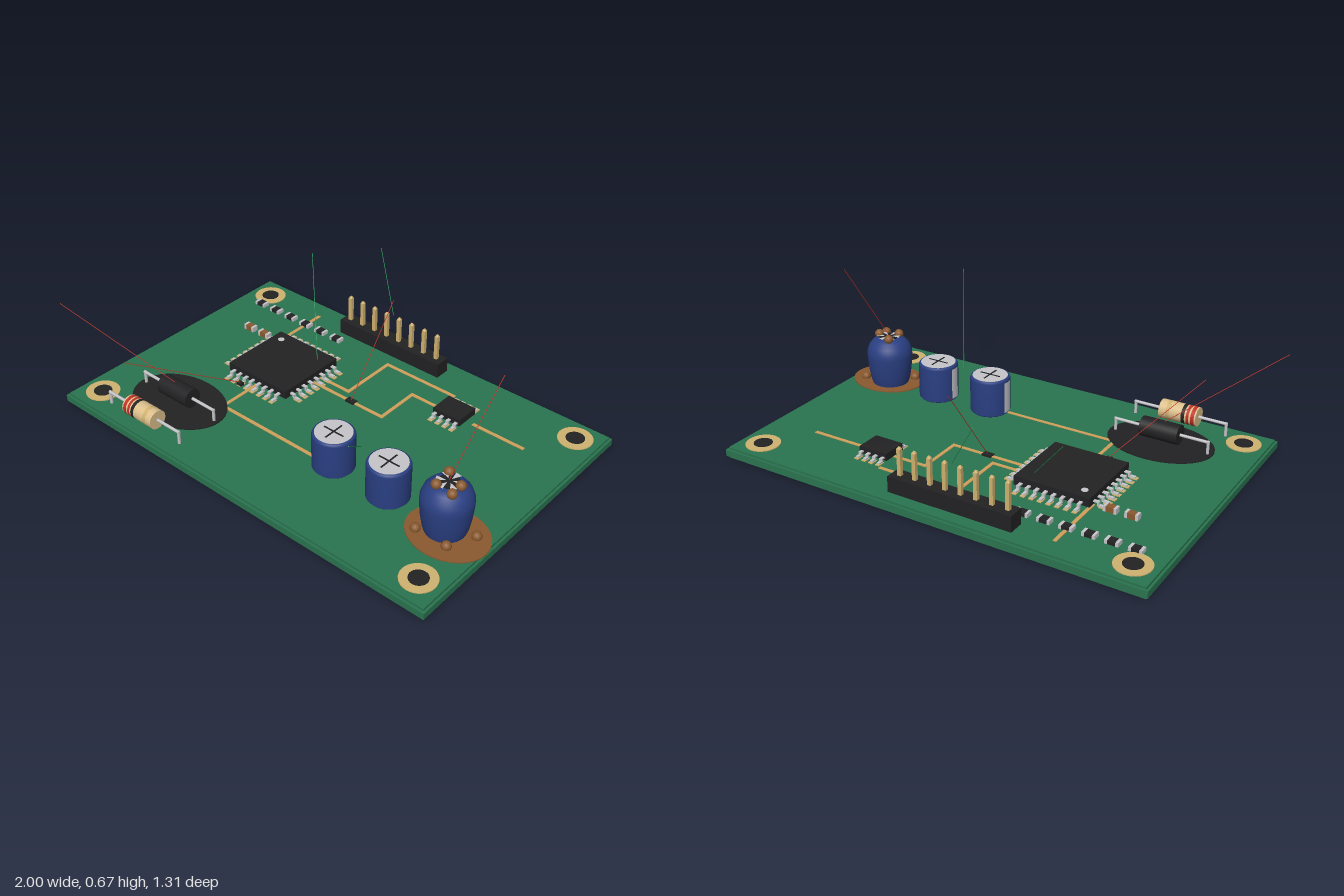
import * as THREE from 'three';

export function createModel() {
  const root = new THREE.Group();
  root.name = 'circuitBoard';
  const mat = (name, color, side = THREE.FrontSide) => {
    const m = new THREE.MeshStandardMaterial({ color, side });
    m.name = name;
    return m;
  };
  const green = mat('boardGreen', 0x2a7550), black = mat('black', 0x222224);
  const silver = mat('silver', 0xc6c6ca, THREE.DoubleSide), gold = mat('gold', 0xd0b270);
  const copper = mat('copper', 0xcfa05c), blue = mat('sleeveBlue', 0x2a3f82);
  const brown = mat('residueBrown', 0x8a5a30), beige = mat('resistorBeige', 0xdcc08c);
  const red = mat('red', 0xc03024), lineGreen = mat('lineGreen', 0x229a55);
  const TOP = 0.05;

  const add = (name, geo, material, x, y, z, parent = root) => {
    const m = new THREE.Mesh(geo, material);
    m.name = name;
    m.position.set(x, y, z);
    parent.add(m);
    return m;
  };
  // Box standing on height y
  const box = (name, material, x, y, z, w, h, d, parent = root) =>
    add(name, new THREE.BoxGeometry(w, h, d), material, x, y + h / 2, z, parent);
  // Cylinder standing on height y
  const disc = (name, material, x, y, z, r, h, parent = root, seg = 32) =>
    add(name, new THREE.CylinderGeometry(r, r, h, seg), material, x, y + h / 2, z, parent);
  // Straight rod between two points
  const rod = (name, material, a, b, r, parent = root) => {
    const p = new THREE.Vector3(...a), q = new THREE.Vector3(...b);
    const dir = q.clone().sub(p), mid = p.clone().add(q).multiplyScalar(0.5);
    const m = add(name, new THREE.CylinderGeometry(r, r, dir.length(), 8), material, mid.x, mid.y, mid.z, parent);
    m.quaternion.setFromUnitVectors(new THREE.Vector3(0, 1, 0), dir.normalize());
    return m;
  };
  const group = (name, x = 0, y = 0, z = 0) => {
    const g = new THREE.Group();
    g.name = name;
    g.position.set(x, y, z);
    root.add(g);
    return g;
  };

  // Board with a slightly proud edge band
  box('board', green, 0.01, 0, 0.004, 1.945, TOP, 1.275);
  box('boardEdge', green, 0.01, 0.01, 0.004, 1.965, 0.03, 1.295);

  // Mounting holes
  for (const x of [-0.862, 0.88]) for (const z of [-0.533, 0.535]) {
    disc('mountingPad', gold, x, TOP, z, 0.075, 0.004);
    disc('mountingHole', black, x, TOP, z, 0.04, 0.006);
  }

  // Copper traces
  const traces = [
    [[-0.2, -0.168], [-0.045, -0.168], [-0.045, -0.443], [0.323, -0.443]],
    [[-0.2, -0.12], [0.18, -0.12], [0.18, -0.333], [0.34, -0.333]],
    [[0.51, -0.333], [0.75, -0.333]],
    [[-0.385, 0.06], [-0.385, 0.267], [0.2, 0.267]],
    [[-0.55, -0.54], [-0.55, -0.25]],
  ];
  for (const path of traces) for (let i = 1; i < path.length; i++) {
    const [a, b] = [path[i - 1], path[i]];
    box('trace', copper, (a[0] + b[0]) / 2, TOP, (a[1] + b[1]) / 2,
      Math.abs(a[0] - b[0]) + 0.016, 0.003, Math.abs(a[1] - b[1]) + 0.016);
  }

  // Gull-wing lead on its solder pad, pointing along local +z
  const lead = (parent, x, z, angle, length, y) => {
    const g = new THREE.Group();
    g.name = 'lead';
    g.position.set(x, 0, z);
    g.rotation.y = angle;
    parent.add(g);
    box('solderPad', gold, 0, TOP, length - 0.012, 0.021, 0.004, 0.034, g);
    box('leadFoot', silver, 0, TOP + 0.004, length * 0.66, 0.014, 0.006, length * 0.5, g);
    box('leadRise', silver, 0, TOP + 0.004, length * 0.4, 0.014, y - TOP, 0.008, g);
    box('leadShoulder', silver, 0, y - 0.002, length * 0.2, 0.014, 0.006, length * 0.45, g);
  };

  // Large square chip, eight leads a side
  const chip = group('mainChip', -0.382, 0, -0.11);
  box('chipBody', black, 0, 0.056, 0, 0.342, 0.039, 0.338, chip);
  disc('chipMark', silver, -0.123, 0.095, -0.12, 0.015, 0.002, chip);
  for (let s = 0; s < 4; s++) for (let i = 0; i < 8; i++) {
    const a = s * Math.PI / 2, t = (i - 3.5) * 0.0385;
    lead(chip, 0.17 * Math.sin(a) + t * Math.cos(a), 0.17 * Math.cos(a) - t * Math.sin(a), a, 0.055, 0.07);
  }

  // Small chip, four leads on two sides
  const small = group('smallChip', 0.403, 0, -0.334);
  box('chipBody', black, 0, 0.056, 0, 0.138, 0.032, 0.114, small);
  for (const s of [0, 1]) for (let i = 0; i < 4; i++)
    lead(small, (i - 1.5) * 0.036, s ? -0.057 : 0.057, s * Math.PI, 0.04, 0.068);

  // Pin header
  box('headerBase', black, -0.1, TOP, -0.545, 0.57, 0.07, 0.072);
  for (let i = 0; i < 8; i++) {
    const x = -0.35 + i * 0.071;
    box('headerPin', gold, x, 0.12, -0.545, 0.017, 0.117, 0.017);
    const tip = add('pinTip', new THREE.CylinderGeometry(0.006, 0.012, 0.008, 4), gold, x, 0.241, -0.545);
    tip.rotation.y = Math.PI / 4;
  }

  // Surface-mount parts with metal end caps
  const smd = (name, material, x, z, w, h, d) => {
    box(name, material, x, TOP, z, w - 0.02, h, d);
    for (const s of [-1, 1]) box('endCap', silver, x + s * (w / 2 - 0.006), TOP, z, 0.012, h + 0.001, d + 0.001);
  };
  for (let i = 0; i < 6; i++) smd('chipResistor', black, -0.835 + i * 0.096, -0.446, 0.057, 0.016, 0.034);
  for (let i = 0; i < 2; i++) smd('chipCapacitor', brown, -0.722 + i * 0.091, -0.25, 0.057, 0.024, 0.029);

  // Can capacitors with scored tops and side stripe
  for (const x of [0.235, 0.515]) {
    const g = group('capacitor', x, 0, 0.255);
    const profile = [[0, 0.05], [0.084, 0.05], [0.09, 0.057], [0.09, 0.21], [0.086, 0.219], [0.078, 0.221], [0, 0.221]];
    const side = new THREE.LatheGeometry(profile.slice(1, 6).map(p => new THREE.Vector2(...p)), 40);
    add('capacitorSleeve', side, blue, 0, 0, 0, g);
    disc('capacitorTop', silver, 0, 0.214, 0, 0.079, 0.008, g);
    box('scoreLine', black, 0, 0.2215, 0, 0.1, 0.002, 0.007, g);
    box('scoreLine', black, 0, 0.2215, 0, 0.007, 0.002, 0.1, g);
    add('polarityStripe', new THREE.CylinderGeometry(0.0915, 0.0915, 0.145, 8, 1, true, 1.5 * Math.PI - 0.25, 0.5),
      silver, 0, 0.134, 0, g);
  }

  // Burst capacitor: swollen can, torn petals, spilled residue
  const burst = group('burstCapacitor', 0.797, 0, 0.262);
  const swollen = [[0.083, 0.05], [0.092, 0.08], [0.1, 0.13], [0.105, 0.19], [0.104, 0.215], [0.094, 0.243],
    [0.075, 0.265], [0.052, 0.278], [0, 0.28]].map(p => new THREE.Vector2(...p));
  add('swollenCan', new THREE.LatheGeometry(swollen, 36), blue, 0, 0, 0, burst);
  disc('tornOpening', black, 0, 0.278, -0.005, 0.042, 0.004, burst);
  for (let i = 0; i < 6; i++) {
    const shape = new THREE.Shape([[0.012, 0], [0.052, -0.014], [0.052, 0.014]].map(p => new THREE.Vector2(...p)));
    const petal = add('tornPetal', new THREE.ShapeGeometry(shape), silver, 0, 0.284, -0.005, burst);
    petal.rotation.set(-Math.PI / 2, 0.1, i * Math.PI / 3 + 0.3, 'YXZ');
  }
  const puddle = disc('residuePuddle', brown, 0.82, TOP, 0.277, 1, 0.005);
  puddle.scale.set(0.175, 1, 0.145);
  const blobs = [[0.767, 0.286, 0.218], [0.848, 0.286, 0.255], [0.772, 0.284, 0.305],
    [0.845, 0.278, 0.305], [0.917, 0.062, 0.228], [0.715, 0.062, 0.342], [0.862, 0.062, 0.345]];
  for (const p of blobs) add('residueBlob', new THREE.SphereGeometry(0.021, 14, 10), brown, ...p);

  // Axial parts: body along x with bent leads
  const axial = (name, z, material, r) => {
    const g = group(name, -0.553, 0.107, z);
    const barrel = (part, m, x, w, rad) => {
      add(part, new THREE.CylinderGeometry(rad, rad, w, 28), m, x, 0, 0, g).rotation.z = Math.PI / 2;
    };
    barrel('body', material, 0, 0.174, r);
    for (const s of [-1, 1]) {
      rod('axialLead', silver, [s * 0.08, 0, 0], [s * 0.219, 0, 0], 0.007, g);
      rod('leadLeg', silver, [s * 0.214, 0.005, 0], [s * 0.214, -0.057, 0], 0.007, g);
    }
    return barrel;
  };
  const band = axial('resistor', 0.566, beige, 0.043);
  band('band', red, -0.072, 0.016, 0.0438);
  band('band', red, -0.049, 0.012, 0.0438);
  band('band', black, -0.027, 0.016, 0.0438);
  band('band', gold, 0.045, 0.016, 0.0438);
  axial('burntDiode', 0.367, black, 0.044);
  const scorch = disc('scorchMark', black, -0.553, TOP, 0.366, 1, 0.004, root, 40);
  scorch.scale.set(0.238, 1, 0.172);

  // Damage spots at a broken trace and a lead
  box('traceBreak', black, 0.01, TOP, -0.12, 0.045, 0.008, 0.03);
  box('leadBreak', black, -0.44, TOP, 0.107, 0.024, 0.014, 0.022);

  // Fine pointer lines
  const pointers = [
    [red, [-1, 0.474, 0.595], [-0.553, 0.14, 0.366]],
    [red, [-0.665, 0.297, 0.55], [-0.44, 0.065, 0.107]],
    [red, [0.01, 0.436, -0.398], [0.01, 0.055, -0.12]],
    [red, [0.853, 0.665, 0.036], [0.797, 0.29, 0.258]],
    [lineGreen, [-0.55, 0.42, -0.5], [-0.27, 0.095, -0.215]],
    [lineGreen, [-0.268, 0.485, -0.655], [-0.1, 0.245, -0.545]],
    [lineGreen, [0.6, 0.547, 0.6], [0.375, 0.22, 0.255]],
  ];
  for (const [m, a, b] of pointers) rod('pointerLine', m, a, b, 0.0015);

  return root;
}
